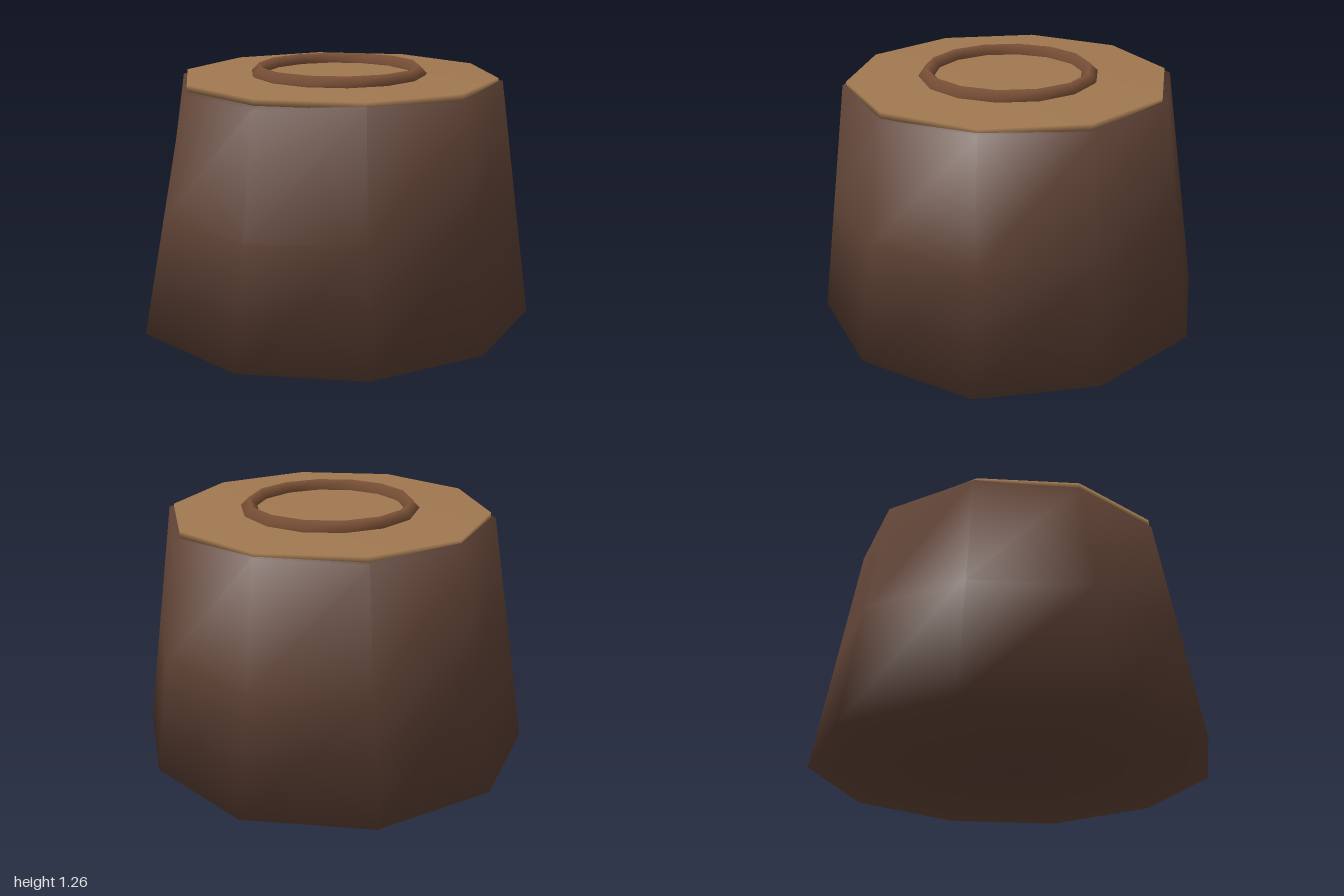
import * as THREE from 'three';
import { mergeVertices } from 'three/addons/utils/BufferGeometryUtils.js';

const SIDES = 10;

// Share vertices across rims so the shading rolls smoothly over every edge.
function soften(geometry) {
  geometry.deleteAttribute('uv');
  geometry.deleteAttribute('normal');
  const merged = mergeVertices(geometry, 1e-4);
  merged.computeVertexNormals();
  return merged;
}

function addPart(group, name, geometry, color) {
  const mesh = new THREE.Mesh(geometry, new THREE.MeshStandardMaterial({ color }));
  mesh.name = name;
  group.add(mesh);
  return mesh;
}

// Closed loft through rings of points, from bottom to top.
function loft(rings) {
  const n = rings[0].length;
  const points = rings.flat();
  const index = [];
  for (let r = 0; r < rings.length - 1; r++) {
    for (let i = 0; i < n; i++) {
      const a = r * n + i, b = r * n + (i + 1) % n;
      index.push(a, a + n, b, b, a + n, b + n);
    }
  }
  const bottom = points.length, top = bottom + 1, last = (rings.length - 1) * n;
  for (const ring of [rings[0], rings[rings.length - 1]]) {
    const c = new THREE.Vector3();
    ring.forEach((p) => c.addScaledVector(p, 1 / n));
    points.push(c);
  }
  for (let i = 0; i < n; i++) {
    const j = (i + 1) % n;
    index.push(bottom, i, j, top, last + j, last + i);
  }
  const geometry = new THREE.BufferGeometry().setFromPoints(points);
  geometry.setIndex(index);
  geometry.computeVertexNormals();
  return geometry;
}

export function createModel() {
  const group = new THREE.Group();
  group.name = 'treeStump';

  // Trunk: uneven foot narrowing to a slightly wavy rim, clockwise from the back
  const foot = [
    [0.02, -1], [0.62, -0.8], [0.98, -0.28], [0.95, 0.34], [0.61, 0.83],
    [0.02, 1], [-0.55, 0.81], [-0.93, 0.34], [-0.98, -0.3], [-0.57, -0.8],
  ].map(([x, z]) => new THREE.Vector3(x, 0, z));
  const rimHeights = [1.2, 1.19, 1.2, 1.18, 1.2, 1.18, 1.2, 1.17, 1.17, 1.19];
  const rim = rimHeights.map((y, i) => {
    const a = (i / SIDES) * Math.PI * 2;
    return new THREE.Vector3(0.03 + 0.815 * Math.sin(a), y, 0.02 - 0.82 * Math.cos(a));
  });
  const middle = foot.map((p, i) => p.clone().lerp(rim[i], 0.5));
  addPart(group, 'trunk', loft([foot, middle, rim]), 0x5c4033);

  // Pale cut face
  const face = addPart(group, 'cutFace',
    soften(new THREE.CylinderGeometry(0.795, 0.795, 0.03, SIDES)), 0xa07850);
  face.position.set(0.025, 1.2, 0.025);

  // Raised growth ring
  const ring = addPart(group, 'growthRing',
    new THREE.TorusGeometry(0.405, 0.04, 4, 14), 0x7d5238);
  ring.rotation.x = Math.PI / 2;
  ring.position.set(0.025, 1.225, 0.025);

  return group;
}
